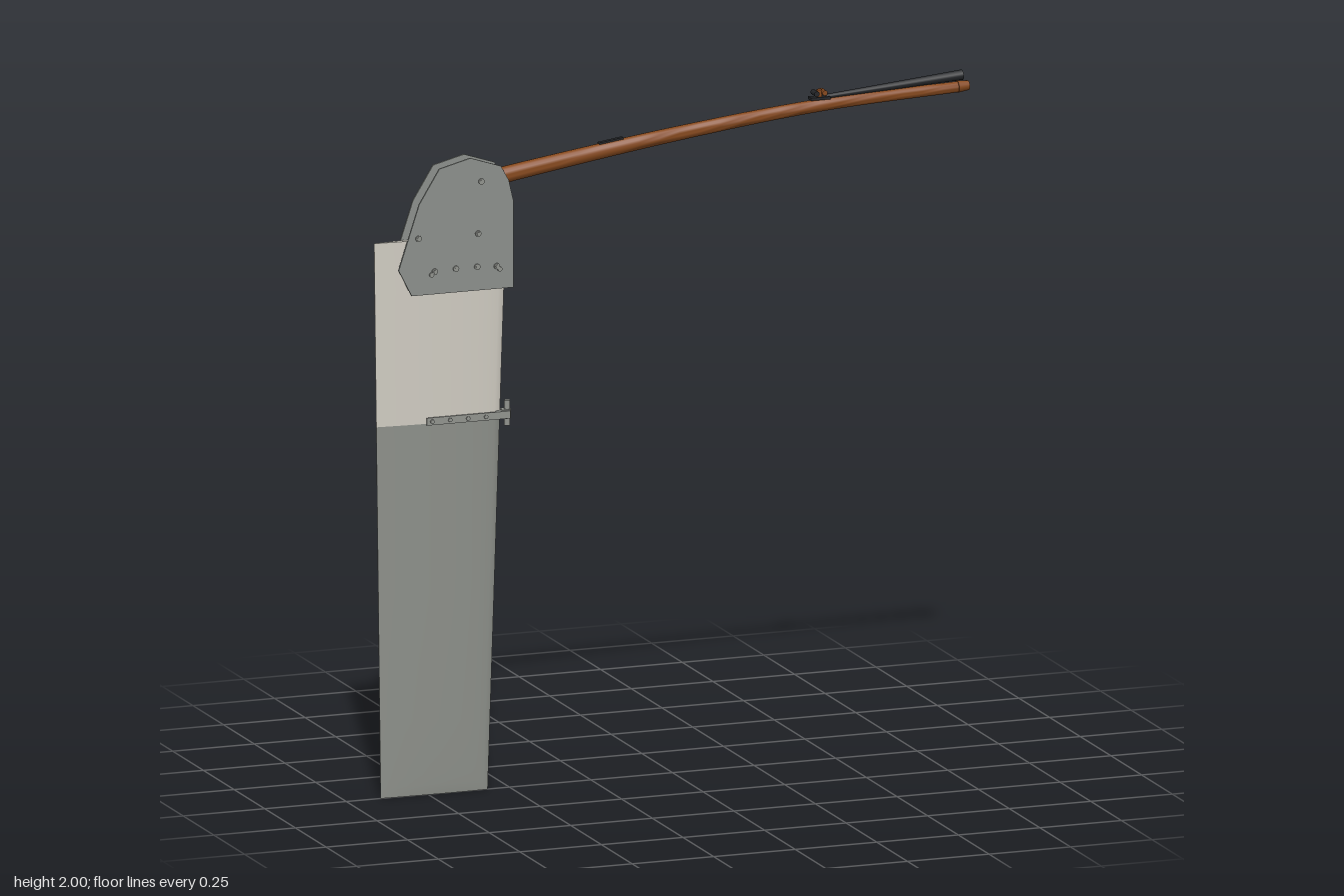
import * as THREE from 'three';
import { toCreasedNormals } from 'three/addons/utils/BufferGeometryUtils.js';

const mat = (name, color) => {
  const m = new THREE.MeshStandardMaterial({ color });
  m.name = name;
  return m;
};

// Closed skin through equal-length rings of points, capped at both ends
function loft(rings, crease = 0.7) {
  const n = rings[0].length, pos = [], idx = [];
  rings.forEach(r => r.forEach(p => pos.push(p.x, p.y, p.z)));
  for (let i = 0; i < rings.length - 1; i++) {
    for (let j = 0; j < n; j++) {
      const a = i * n + j, b = i * n + (j + 1) % n;
      idx.push(a, b, a + n, b, b + n, a + n);
    }
  }
  for (const end of [0, rings.length - 1]) {
    const c = new THREE.Vector3();
    rings[end].forEach(p => c.addScaledVector(p, 1 / n));
    const k = pos.length / 3;
    pos.push(c.x, c.y, c.z);
    for (let j = 0; j < n; j++) {
      const a = end * n + j, b = end * n + (j + 1) % n;
      if (end) idx.push(k, a, b); else idx.push(k, b, a);
    }
  }
  const g = new THREE.BufferGeometry();
  g.setAttribute('position', new THREE.Float32BufferAttribute(pos, 3));
  g.setIndex(idx);
  return toCreasedNormals(g, crease);
}

const lerp = THREE.MathUtils.lerp;
const leadX = y => lerp(-0.567, -0.512, y / 1.64);
const trailX = y => lerp(-0.895, -0.915, y / 1.64);

// Half thickness of the foil at height y, u = 0 at the leading edge
function foil(y, u) {
  const t = y < 0.22 ? lerp(0.006, 0.0135, Math.sqrt(y / 0.22)) : lerp(0.0135, 0.0185, (y - 0.22) / 1.42);
  const shape = 2.6 * (0.5 * Math.sqrt(u) - 0.2 * u - 0.3 * u * u);
  return t * Math.min(1, Math.max(0, shape) * 1.55) + 0.001;
}

function foilRing(y) {
  const ring = [], n = 14;
  for (const side of [-1, 1]) {
    for (let i = 0; i <= n; i++) {
      const k = side < 0 ? i : n - i;
      const u = (1 - Math.cos(Math.PI * k / n)) / 2;
      ring.push(new THREE.Vector3(lerp(leadX(y), trailX(y), u), y, side * foil(y, u)));
    }
  }
  return ring;
}

export function createModel() {
  const group = new THREE.Group();
  group.name = 'rudder';
  const grey = mat('bladeGrey', 0x8d908a);
  const cream = mat('cream', 0xd0ccc2);
  const plate = mat('plateGrey', 0x8c908c);
  const steel = mat('steel', 0x92948f);
  const wood = mat('wood', 0x884a1e);
  const black = mat('black', 0x242629);

  const add = (name, geo, material, x = 0, y = 0, z = 0) => {
    const m = new THREE.Mesh(geo, material);
    m.name = name;
    m.position.set(x, y, z);
    group.add(m);
    return m;
  };
  const box = (name, material, w, h, d, x, y, z = 0) =>
    add(name, new THREE.BoxGeometry(w, h, d), material, x, y, z);
  const rod = (name, material, r, len, x, y, z = 0, axis = 'y') => {
    const m = add(name, new THREE.CylinderGeometry(r, r, len, 12), material, x, y, z);
    if (axis === 'z') m.rotation.x = Math.PI / 2;
    return m;
  };

  // Blade: painted lower part and pale upper part
  add('lowerBlade', loft([0, 0.012, 0.03, 0.06, 0.12, 0.22, 0.6, 1.097].map(foilRing)), grey);
  add('upperBlade', loft([1.097, 1.3, 1.5, 1.64].map(foilRing)), cream);

  // Cheek plates on both sides of the head
  const outline = [[-0.85, 1.56], [-0.81, 1.482], [-0.499, 1.482], [-0.499, 1.74], [-0.513, 1.8],
    [-0.537, 1.843], [-0.63, 1.874], [-0.725, 1.85], [-0.787, 1.75]];
  const cheek = new THREE.Shape(outline.map(p => new THREE.Vector2(...p)));
  const cheekGeo = new THREE.ExtrudeGeometry(cheek, { depth: 0.006, bevelEnabled: false });
  for (const s of [1, -1]) add('cheekPlate', cheekGeo, plate, 0, 0, s * 0.026 - 0.003);

  // Bolts through the cheeks, with wider heads
  const bolts = [[-0.79, 1.65], [-0.607, 1.65], [-0.597, 1.803], [-0.74, 1.549],
    [-0.675, 1.552], [-0.61, 1.552], [-0.55, 1.549]];
  for (const [x, y] of bolts) {
    rod('bolt', steel, 0.005, 0.07, x, y, 0, 'z');
    for (const s of [1, -1]) rod('boltHead', steel, 0.009, 0.005, x, y, s * 0.031, 'z');
  }
  for (const s of [1, -1]) {
    rod('boltHead', steel, 0.007, 0.006, -0.75, 1.54, s * 0.031, 'z');
    rod('boltHead', steel, 0.007, 0.006, -0.541, 1.54, s * 0.031, 'z');
  }

  // Upper hinge held between the cheeks
  box('upperHingeBlock', steel, 0.05, 0.025, 0.045, -0.525, 1.55);
  rod('upperHingePin', steel, 0.008, 0.08, -0.508, 1.555);

  // Lower hinge: straps along the blade, nose and pin
  for (const s of [1, -1]) {
    box('hingeStrap', steel, 0.235, 0.022, 0.005, -0.643, 1.105, s * 0.0195);
    for (const x of [-0.745, -0.69, -0.635, -0.58])
      rod('strapRivet', steel, 0.006, 0.007, x, 1.105, s * 0.0225, 'z');
  }
  box('hingeNose', steel, 0.04, 0.022, 0.044, -0.525, 1.105);
  rod('hingeEye', steel, 0.016, 0.026, -0.512, 1.105);
  rod('hingePin', steel, 0.009, 0.074, -0.507, 1.107);

  // Tiller: gently arched and tapering
  const arch = new THREE.CatmullRomCurve3([[-0.6, 1.795], [-0.5, 1.812], [0, 1.884], [0.45, 1.932], [0.885, 1.951]]
    .map(([x, y]) => new THREE.Vector3(x, y, 0)));
  const rings = [];
  for (let i = 0; i <= 24; i++) {
    const t = i / 24, p = arch.getPointAt(t), d = arch.getTangentAt(t), ring = [];
    const h = lerp(0.025, 0.016, t), w = lerp(0.023, 0.014, t);
    for (let j = 0; j < 18; j++) {
      const a = j / 18 * Math.PI * 2, c = Math.cos(a) * h;
      ring.push(new THREE.Vector3(p.x - d.y * c, p.y + d.x * c, Math.sin(a) * w));
    }
    rings.push(ring);
  }
  add('tiller', loft(rings), wood);
  const knob = add('tillerEnd', new THREE.CylinderGeometry(0.014, 0.018, 0.034, 16), wood, 0.89, 1.952, 0);
  knob.rotation.z = -Math.PI / 2 + 0.04;

  // Folding extension lying along the tiller
  const from = new THREE.Vector3(0.47, 1.956, 0), to = new THREE.Vector3(0.888, 1.985, 0);
  const dir = to.clone().sub(from);
  const ext = add('extension', new THREE.CylinderGeometry(0.015, 0.007, dir.length(), 14), black);
  ext.position.copy(from).lerp(to, 0.5);
  ext.quaternion.setFromUnitVectors(new THREE.Vector3(0, 1, 0), dir.normalize());

  // Swivel joint of the extension
  box('jointBase', black, 0.06, 0.008, 0.026, 0.45, 1.954);
  rod('jointPost', wood, 0.008, 0.026, 0.45, 1.966);
  rod('jointPin', black, 0.008, 0.032, 0.437, 1.969, 0, 'z');
  rod('jointPin', wood, 0.008, 0.032, 0.462, 1.97, 0, 'z');

  // Small cleat set into the top of the tiller
  const cleat = box('cleat', black, 0.075, 0.008, 0.014, -0.19, 1.881);
  cleat.rotation.z = 0.14;
  return group;
}
